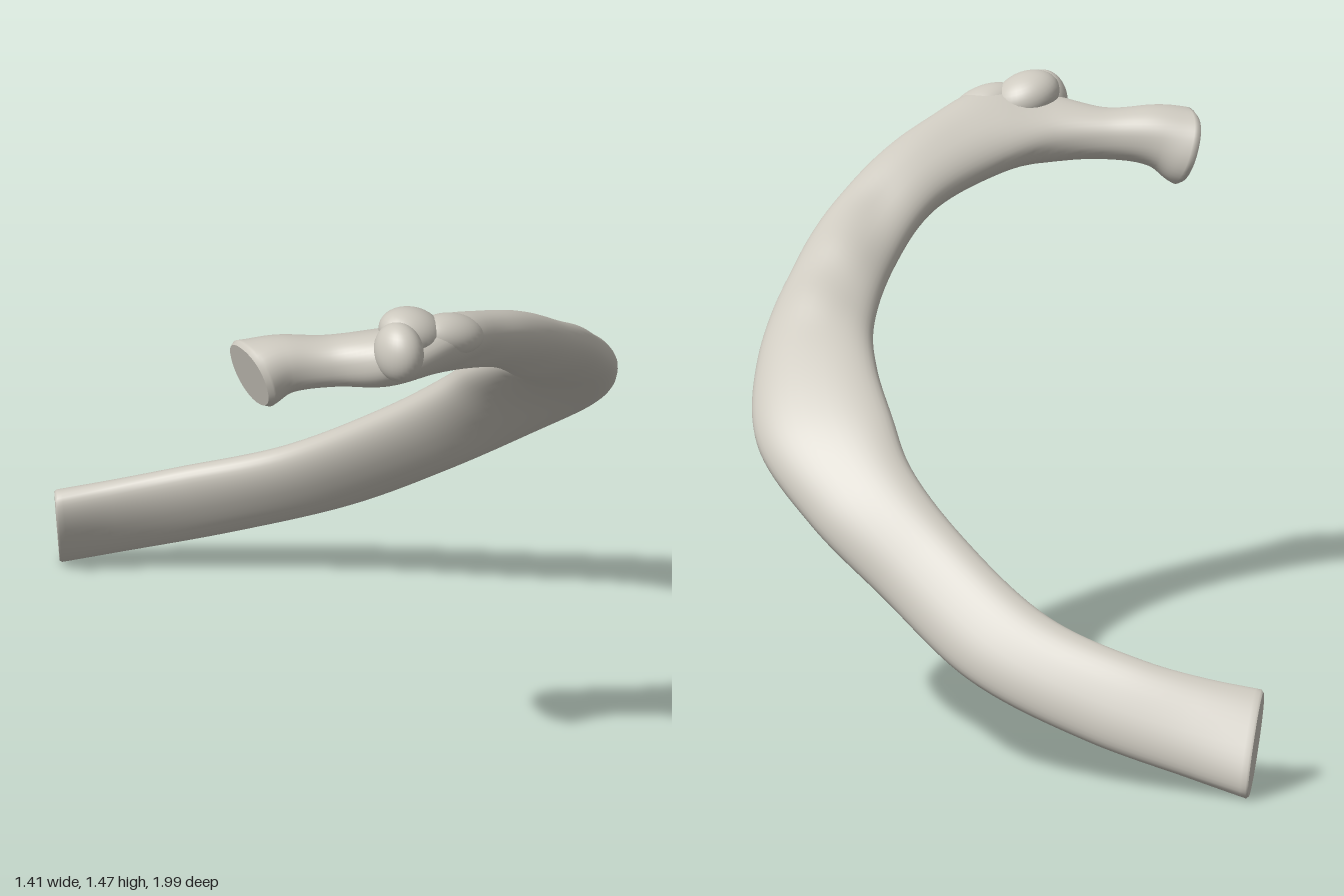
import * as THREE from 'three';

// Stations from the head to the flat end: outer edge xyz, inner edge xyz, thickness
const STATIONS = [
  [[-0.685, 1.28, 0.765], [-0.675, 1.30, 0.575], 0.175],
  [[-0.63, 1.305, 0.775], [-0.60, 1.31, 0.625], 0.145],
  [[-0.53, 1.315, 0.83], [-0.48, 1.31, 0.695], 0.13],
  [[-0.42, 1.35, 0.93], [-0.35, 1.29, 0.745], 0.15],
  [[-0.25, 1.40, 0.96], [-0.21, 1.25, 0.755], 0.145],
  [[0, 1.335, 0.89], [0, 1.18, 0.705], 0.13],
  [[0.24, 1.21, 0.79], [0.16, 1.065, 0.60], 0.125],
  [[0.42, 1.07, 0.66], [0.29, 0.965, 0.43], 0.125],
  [[0.60, 0.89, 0.47], [0.355, 0.90, 0.26], 0.135],
  [[0.685, 0.725, 0.275], [0.38, 0.81, 0.10], 0.135],
  [[0.63, 0.56, 0.05], [0.385, 0.71, -0.03], 0.13],
  [[0.52, 0.41, -0.15], [0.325, 0.57, -0.22], 0.12],
  [[0.385, 0.235, -0.42], [0.19, 0.40, -0.48], 0.11],
  [[0.17, 0.115, -0.67], [0.01, 0.315, -0.68], 0.105],
  [[-0.04, 0.04, -0.87], [-0.13, 0.275, -0.78], 0.105],
  [[-0.15, 0.003, -0.975], [-0.25, 0.25, -0.85], 0.11],
];

// Small swellings and hollows on the shaft: centre, radius, push
const BUMPS = [
  [[-0.66, 1.37, 0.74], 0.09, 0.012],
  [[-0.66, 1.22, 0.64], 0.07, 0.02],
  [[-0.12, 1.30, 0.90], 0.08, -0.014],
  [[0.30, 1.13, 0.60], 0.08, 0.012],
  [[0.42, 1.03, 0.50], 0.08, 0.014],
  [[0.16, 1.20, 0.72], 0.08, -0.01],
];

function loftGeometry(rings, sides) {
  const curve = (k) => new THREE.CatmullRomCurve3(STATIONS.map((s) => new THREE.Vector3(...s[k])), false, 'centripetal');
  const thick = new THREE.SplineCurve(STATIONS.map((s, i) => new THREE.Vector2(i, s[2])));
  const outer = curve(0), inner = curve(1);
  const centre = (t) => outer.getPoint(t).add(inner.getPoint(t)).multiplyScalar(0.5);
  const positions = [], index = [];

  // Oval rings spanning from the inner edge to the outer edge
  const addRing = (t, scale, shift) => {
    const c = centre(t);
    const tangent = centre(Math.min(t + 0.01, 1)).sub(centre(Math.max(t - 0.01, 0))).normalize();
    const wide = outer.getPoint(t).sub(inner.getPoint(t)).multiplyScalar(0.5 * scale);
    const flat = tangent.clone().cross(wide).normalize().multiplyScalar(0.5 * scale * thick.getPoint(t).y);
    for (let j = 0; j < sides; j++) {
      const a = (j / sides) * Math.PI * 2;
      const soft = (v) => Math.sign(v) * Math.abs(v) ** 0.9;
      const offset = wide.clone().multiplyScalar(soft(Math.cos(a))).addScaledVector(flat, soft(Math.sin(a)));
      const p = c.clone().add(offset).addScaledVector(tangent, shift);
      const out = offset.normalize();
      for (const [b, r, push] of BUMPS) {
        const d = p.distanceTo(new THREE.Vector3(...b)) / r;
        p.addScaledVector(out, push * Math.exp(-d * d));
      }
      positions.push(p.x, p.y, p.z);
    }
  };
  addRing(0, 0.9, -0.012);
  for (let i = 0; i <= rings; i++) addRing(i / rings, 1, 0);
  addRing(1, 0.95, 0.006);

  const last = rings + 2;
  for (let i = 0; i < last; i++) {
    for (let j = 0; j < sides; j++) {
      const k = (j + 1) % sides;
      const a = i * sides + j, b = i * sides + k, c = a + sides, d = b + sides;
      index.push(a, b, c, b, d, c);
    }
  }

  // Flat end caps with their own vertices for crisp rims
  for (const [ring, end] of [[0, false], [last, true]]) {
    const start = positions.length / 3;
    const mid = [0, 0, 0];
    for (let j = 0; j < sides; j++) {
      for (let n = 0; n < 3; n++) {
        const v = positions[(ring * sides + j) * 3 + n];
        positions.push(v);
        mid[n] += v / sides;
      }
    }
    positions.push(...mid);
    for (let j = 0; j < sides; j++) {
      const a = start + j, b = start + (j + 1) % sides;
      index.push(start + sides, end ? a : b, end ? b : a);
    }
  }

  const geometry = new THREE.BufferGeometry();
  geometry.setAttribute('position', new THREE.Float32BufferAttribute(positions, 3));
  geometry.setIndex(index);
  geometry.computeVertexNormals();
  return geometry;
}

export function createModel() {
  const model = new THREE.Group();
  model.name = 'ribBone';
  const bone = new THREE.MeshStandardMaterial({ color: 0xcdc9bf });
  bone.name = 'bone';

  const add = (name, geometry) => {
    const mesh = new THREE.Mesh(geometry, bone);
    mesh.name = name;
    model.add(mesh);
    return mesh;
  };

  // Curved, twisting shaft with neck and head
  add('ribShaft', loftGeometry(150, 40));

  // Rounded knobs where the neck meets the shaft
  const knob = (name, position, size, tilt) => {
    const mesh = add(name, new THREE.SphereGeometry(1, 32, 20));
    mesh.position.set(...position);
    mesh.scale.set(...size);
    mesh.rotation.z = tilt;
  };
  knob('tubercle', [-0.4, 1.372, 0.925], [0.06, 0.08, 0.075], 0);
  knob('tubercleCrest', [-0.335, 1.4, 0.885], [0.09, 0.062, 0.075], -0.35);
  knob('shaftAngle', [-0.23, 1.375, 0.915], [0.1, 0.055, 0.06], -0.3);

  return model;
}
